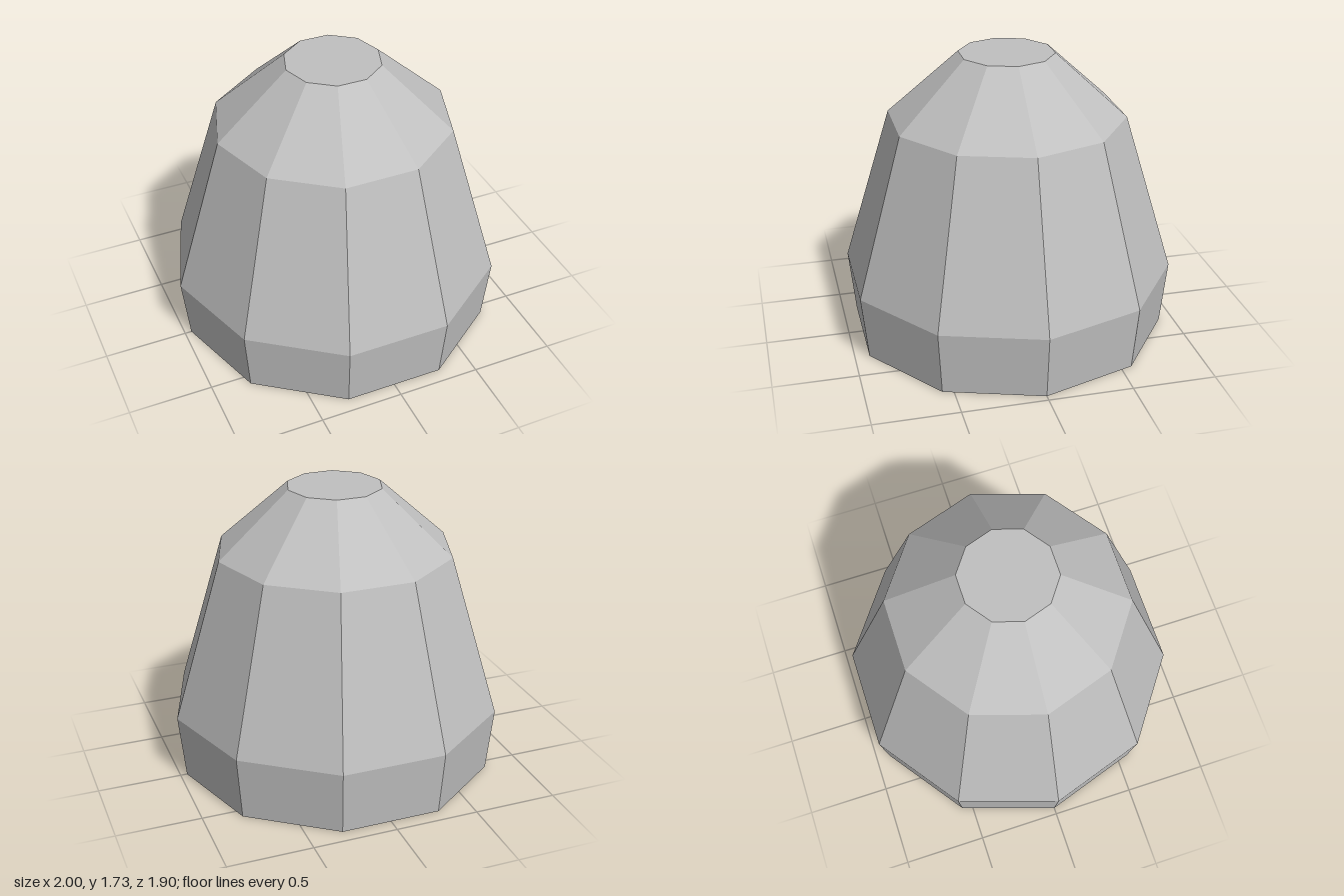
import * as THREE from 'three';

const SIDES = 10;

// Ten-sided ring section revolved from [radius, height] points, with corners on the x axis
function section(name, profile, material) {
  const points = profile.map(([r, y]) => new THREE.Vector2(r, y));
  const geometry = new THREE.LatheGeometry(points, SIDES, Math.PI / 2);
  const mesh = new THREE.Mesh(geometry, material);
  mesh.name = name;
  return mesh;
}

export function createModel() {
  const group = new THREE.Group();
  group.name = 'facetedDome';

  const grey = new THREE.MeshStandardMaterial({ color: 0xc0c0c0 });
  grey.name = 'light grey';
  grey.flatShading = true;

  group.add(
    // Closed underside and the band that flares slightly outward
    section('baseBand', [[0, 0], [0.96, 0], [1, 0.39]], grey),
    // Tall tapering wall
    section('body', [[1, 0.39], [0.707, 1.35]], grey),
    // Steeper shoulder closed by the flat top
    section('shoulderAndCap', [[0.707, 1.35], [0.283, 1.73], [0, 1.73]], grey),
  );
  return group;
}
